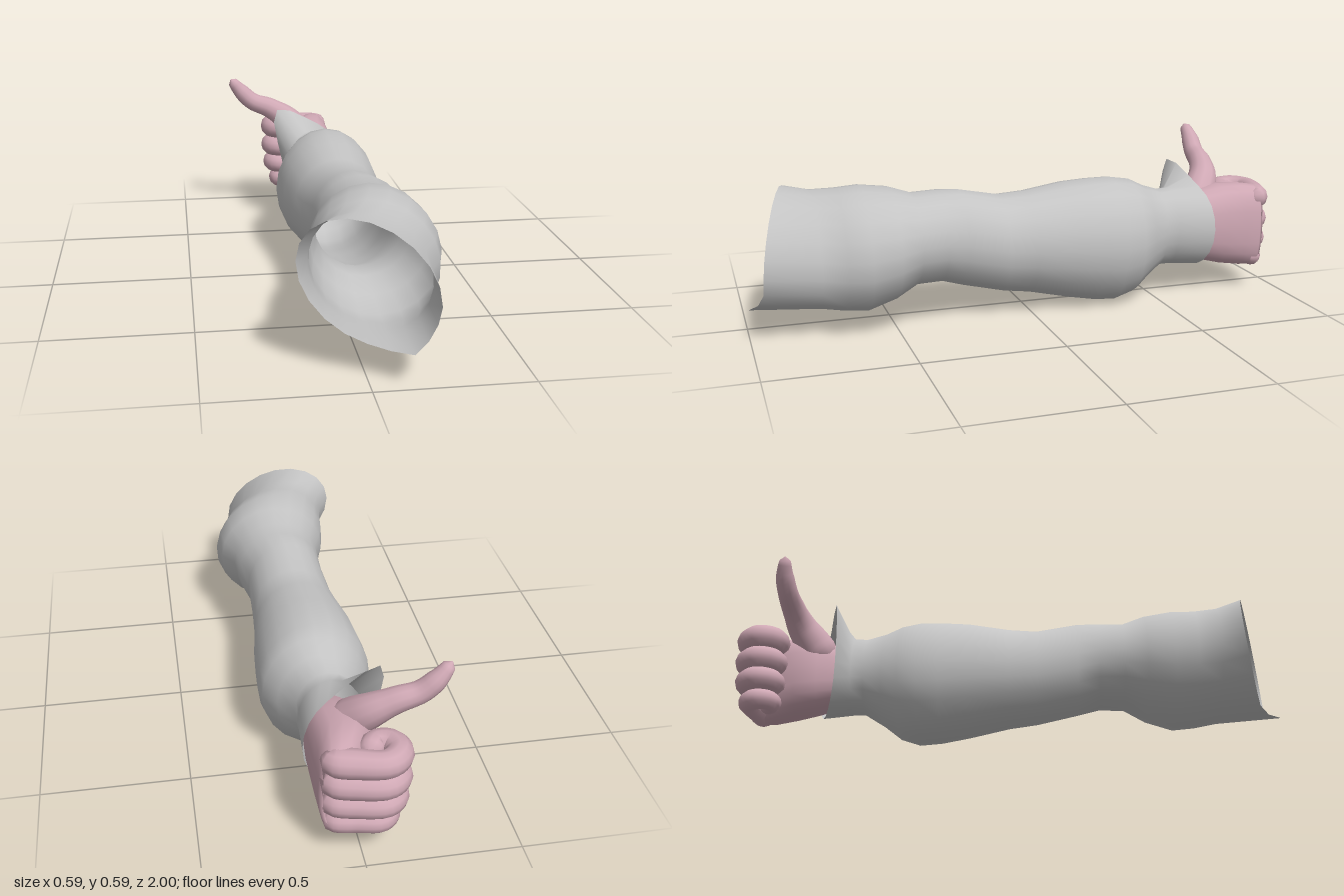
import * as THREE from 'three';

const cloth = new THREE.MeshStandardMaterial({ color: 0xc4c4c4, side: THREE.DoubleSide });
cloth.name = 'grey cloth';
const skin = new THREE.MeshStandardMaterial({ color: 0xcfa8b4, side: THREE.DoubleSide });
skin.name = 'pink skin';

// Skin a list of closed rings (arrays of Vector3) into a smooth surface
function loft(rings, material, name) {
  const n = rings[0].length, pos = [], idx = [];
  rings.forEach(r => r.forEach(p => pos.push(p.x, p.y, p.z)));
  for (let i = 0; i < rings.length - 1; i++) {
    for (let j = 0; j < n; j++) {
      const a = i * n + j, b = i * n + (j + 1) % n;
      idx.push(a, a + n, b, b, a + n, b + n);
    }
  }
  const g = new THREE.BufferGeometry();
  g.setAttribute('position', new THREE.Float32BufferAttribute(pos, 3));
  g.setIndex(idx);
  g.computeVertexNormals();
  const mesh = new THREE.Mesh(g, material);
  mesh.name = name;
  return mesh;
}

// Rounded ring from its bounds, leaning left by shear; warp(p, angle) may move each point
function ring([z, x0, x1, y0, y1, shear = 0], power = 1, warp) {
  const pts = [], n = 20;
  for (let j = 0; j < n; j++) {
    const a = (j / n) * Math.PI * 2, c = Math.cos(a), s = Math.sin(a);
    const p = new THREE.Vector3(
      (x0 + x1) / 2 + (x1 - x0) / 2 * Math.sign(c) * Math.abs(c) ** power - shear * s,
      (y0 + y1) / 2 + (y1 - y0) / 2 * Math.sign(s) * Math.abs(s) ** power, z);
    if (warp) warp(p, a);
    pts.push(p);
  }
  return pts;
}

// Tapered tube with rounded ends along a path; radii are spread evenly
function limb(points, radii, name) {
  const curve = new THREE.CatmullRomCurve3(points.map(p => new THREE.Vector3(...p)));
  const steps = 30, n = 12, f = curve.computeFrenetFrames(steps, false), rings = [];
  const length = curve.getLength();
  for (let i = 0; i <= steps; i++) {
    const t = i / steps, k = t * (radii.length - 1), m = Math.min(Math.floor(k), radii.length - 2);
    let r = THREE.MathUtils.lerp(radii[m], radii[m + 1], k - m);
    const e = Math.min(1, Math.min(t, 1 - t) * length / r);
    r *= Math.sqrt(Math.max(0, 1 - (1 - e) ** 2));
    const c = curve.getPointAt(t), pts = [];
    for (let j = 0; j < n; j++) {
      const a = (j / n) * Math.PI * 2;
      pts.push(c.clone().addScaledVector(f.normals[i], r * Math.cos(a))
        .addScaledVector(f.binormals[i], -r * Math.sin(a)));
    }
    rings.push(pts);
  }
  return loft(rings, skin, name);
}

export function createModel() {
  const model = new THREE.Group();
  model.name = 'sleevedArm';

  // Sleeve sections: z, x min, x max, y min, y max, shear
  const sections = [
    [0.76, -0.156, 0.228, 0.085, 0.478, 0.045], [0.68, -0.146, 0.272, 0.075, 0.487, 0.03],
    [0.6, -0.14, 0.295, 0.07, 0.498, 0.02], [0.5, -0.12, 0.282, 0.1, 0.488, 0.01],
    [0.42, -0.09, 0.24, 0.138, 0.462], [0.33, -0.085, 0.232, 0.14, 0.466],
    [0.25, -0.084, 0.205, 0.112, 0.46], [0.1, -0.1, 0.208, 0.075, 0.43],
    [0, -0.115, 0.215, 0.06, 0.435], [-0.15, -0.138, 0.234, 0.025, 0.458],
    [-0.25, -0.146, 0.242, 0.006, 0.464], [-0.33, -0.147, 0.246, 0, 0.465],
    [-0.4, -0.125, 0.238, 0.025, 0.455], [-0.46, -0.098, 0.195, 0.07, 0.425],
    [-0.53, -0.074, 0.147, 0.11, 0.402], [-0.575, -0.075, 0.145, 0.11, 0.405],
  ];
  // Slanted open end with a small tab at the bottom
  const rim = ring([0.89, -0.195, 0.205, 0.1, 0.488, 0.06], 1, (p, a) => {
    const tab = Math.max(0, Math.cos(a - 5.03)) ** 20;
    p.z += 0.055 * Math.cos(a) - 0.03 * Math.sin(a) + 0.064 * tab;
  });
  // The cuff slants and its upper right side is folded out
  const cuff = ring([-0.675, -0.085, 0.152, 0.098, 0.41], 1, (p, a) => {
    const w = Math.max(0, Math.cos(a - 2.25)) ** 5;
    p.x -= 0.075 * w;
    p.y += 0.105 * w;
    p.z += 0.015 * w - 0.045 * Math.cos(a);
  });
  model.add(loft([rim, ...sections.map(s => ring(s)), cuff], cloth, 'sleeve'));

  // Palm, open at the wrist, with a hollow far end that holds the fingers
  const palm = [
    [-0.55, 0, 0.135, 0.165, 0.34], [-0.62, -0.03, 0.138, 0.15, 0.375],
    [-0.7, -0.065, 0.143, 0.118, 0.395], [-0.78, -0.075, 0.142, 0.096, 0.408],
    [-0.86, -0.03, 0.14, 0.086, 0.41], [-0.92, 0, 0.137, 0.086, 0.402],
    [-0.935, 0.02, 0.125, 0.1, 0.39], [-0.885, 0.03, 0.12, 0.11, 0.38],
    [-0.883, 0.07, 0.08, 0.2, 0.3],
  ];
  model.add(loft(palm.map(s => ring(s, 0.8)), skin, 'palm'));

  // Curled fingers, top to bottom: height, radius, reach
  [['indexFinger', 0.355, 0.046, 1], ['middleFinger', 0.272, 0.044, 1.01],
    ['ringFinger', 0.195, 0.042, 0.96], ['littleFinger', 0.122, 0.038, 0.78]]
    .forEach(([name, y, r, k]) => {
      const path = [[0.095, -0.885], [0.091, -0.915], [0.03, -0.937], [-0.07, -0.953],
        [-0.112, -0.91], [-0.1, -0.86], [-0.055, -0.848], [-0.015, -0.905]];
      model.add(limb(path.map(([x, z]) => [x > 0.05 ? x : x * k, y, -0.885 + (z + 0.885) * k]),
        [r, r * 1.04, r * 0.97, r, r * 0.92, r * 0.88], name));
    });

  // Raised thumb, growing out of the ball of the palm
  model.add(limb([[0.03, 0.29, -0.68], [-0.015, 0.365, -0.725], [-0.06, 0.418, -0.765],
    [-0.13, 0.462, -0.787], [-0.2, 0.489, -0.795], [-0.25, 0.535, -0.8], [-0.293, 0.588, -0.793]],
  [0.065, 0.07, 0.058, 0.045, 0.038, 0.034, 0.018], 'thumb'));
  return model;
}
